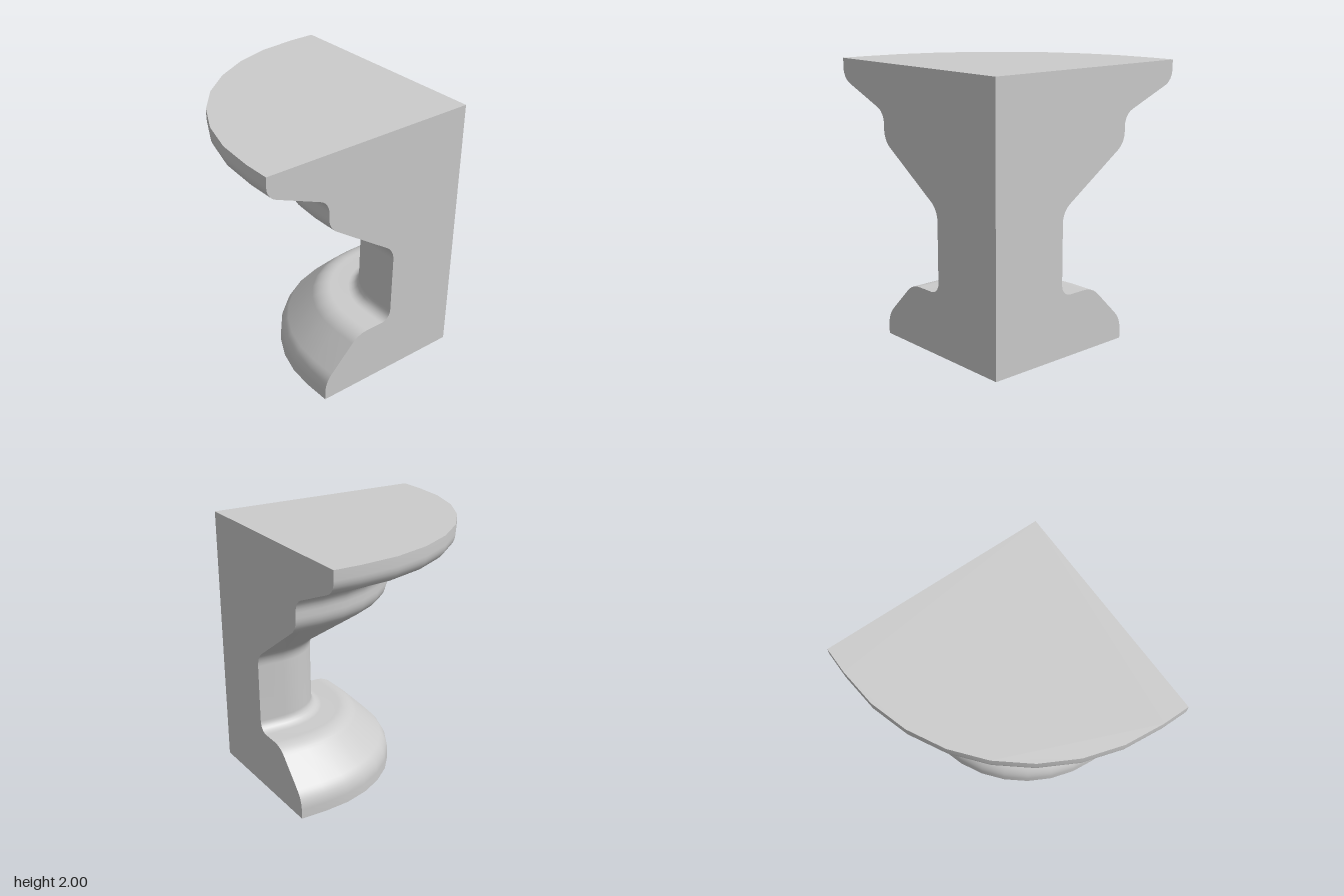
import * as THREE from 'three';

const H = 0.85;      // half width; the square inner corner stands at x = z = H
const CORE = 0.2;    // straight run next to each flat face, before the arc
const FILLET = 0.08; // tangent length of every rounded profile corner
const ARC_STEPS = 8;

// Profile corners: distance out from the inner corner, height
const CORNERS = [
  [1.7, 2], [1.7, 1.85], [1.2, 1.65], [1.2, 1.45], [0.6, 1.05],
  [0.6, 0.45], [0.9, 0.45], [1.2, 0.15], [1.2, 0],
].map(([r, y]) => new THREE.Vector2(r, y));

// Replaces each inner corner of a polyline with a circular fillet
function roundedProfile(corners, d, steps) {
  const points = [corners[0].clone()];
  for (let i = 1; i < corners.length - 1; i++) {
    const c = corners[i];
    const u = corners[i - 1].clone().sub(c).normalize();
    const v = corners[i + 1].clone().sub(c).normalize();
    const turn = Math.PI - Math.acos(u.dot(v));
    const handle = d - (4 / 3) * Math.tan(turn / 4) * d / Math.tan(turn / 2);
    const at = (dir, s) => c.clone().addScaledVector(dir, s);
    points.push(...new THREE.CubicBezierCurve(at(u, d), at(u, handle), at(v, handle), at(v, d)).getPoints(steps));
  }
  points.push(corners[corners.length - 1].clone());
  return points;
}

// Plan outline at reach r: straight, quarter arc, straight
function planOutline(r) {
  const points = [[H - r, H]];
  for (let i = 0; i <= ARC_STEPS; i++) {
    const t = (i / ARC_STEPS) * Math.PI / 2;
    points.push([H - CORE - (r - CORE) * Math.cos(t), H - CORE - (r - CORE) * Math.sin(t)]);
  }
  points.push([H, H - r]);
  return points;
}

// Smooth skin joining the outlines at each profile height
function mouldingGeometry(profile) {
  const positions = [], index = [];
  const n = ARC_STEPS + 3;
  profile.forEach((p, i) => {
    for (const [x, z] of planOutline(p.x)) positions.push(x, p.y, z);
    if (i === 0) return;
    for (let j = 0; j < n - 1; j++) {
      const a = (i - 1) * n + j, b = a + n;
      index.push(a, a + 1, b, a + 1, b + 1, b);
    }
  });
  const g = new THREE.BufferGeometry();
  g.setAttribute('position', new THREE.Float32BufferAttribute(positions, 3));
  g.setIndex(index);
  g.computeVertexNormals();
  return g;
}

const flat = (pts) => new THREE.ShapeGeometry(new THREE.Shape(pts.map(([x, y]) => new THREE.Vector2(x, y))));

export function createModel() {
  const group = new THREE.Group();
  group.name = 'quarterPedestal';
  const material = new THREE.MeshStandardMaterial({ color: 0xcccccc });
  const add = (name, geometry) => {
    const mesh = new THREE.Mesh(geometry, material);
    mesh.name = name;
    group.add(mesh);
  };

  const profile = roundedProfile(CORNERS, FILLET, 6);
  add('mouldedSide', mouldingGeometry(profile));

  // Two flat cut faces carrying the profile
  const cut = (sign) => [...profile.map((p) => [sign * (H - p.x), p.y]), [sign * H, 0], [sign * H, 2]];
  add('frontFace', flat(cut(1)).translate(0, 0, H));
  add('leftFace', flat(cut(-1)).rotateY(Math.PI / 2).translate(H, 0, 0));

  // Top and base
  const plan = (r, sign) => [...planOutline(r), [H, H]].map(([x, z]) => [x, sign * z]);
  add('topFace', flat(plan(1.7, -1)).rotateX(-Math.PI / 2).translate(0, 2, 0));
  add('baseFace', flat(plan(1.2, 1)).rotateX(Math.PI / 2));

  return group;
}
